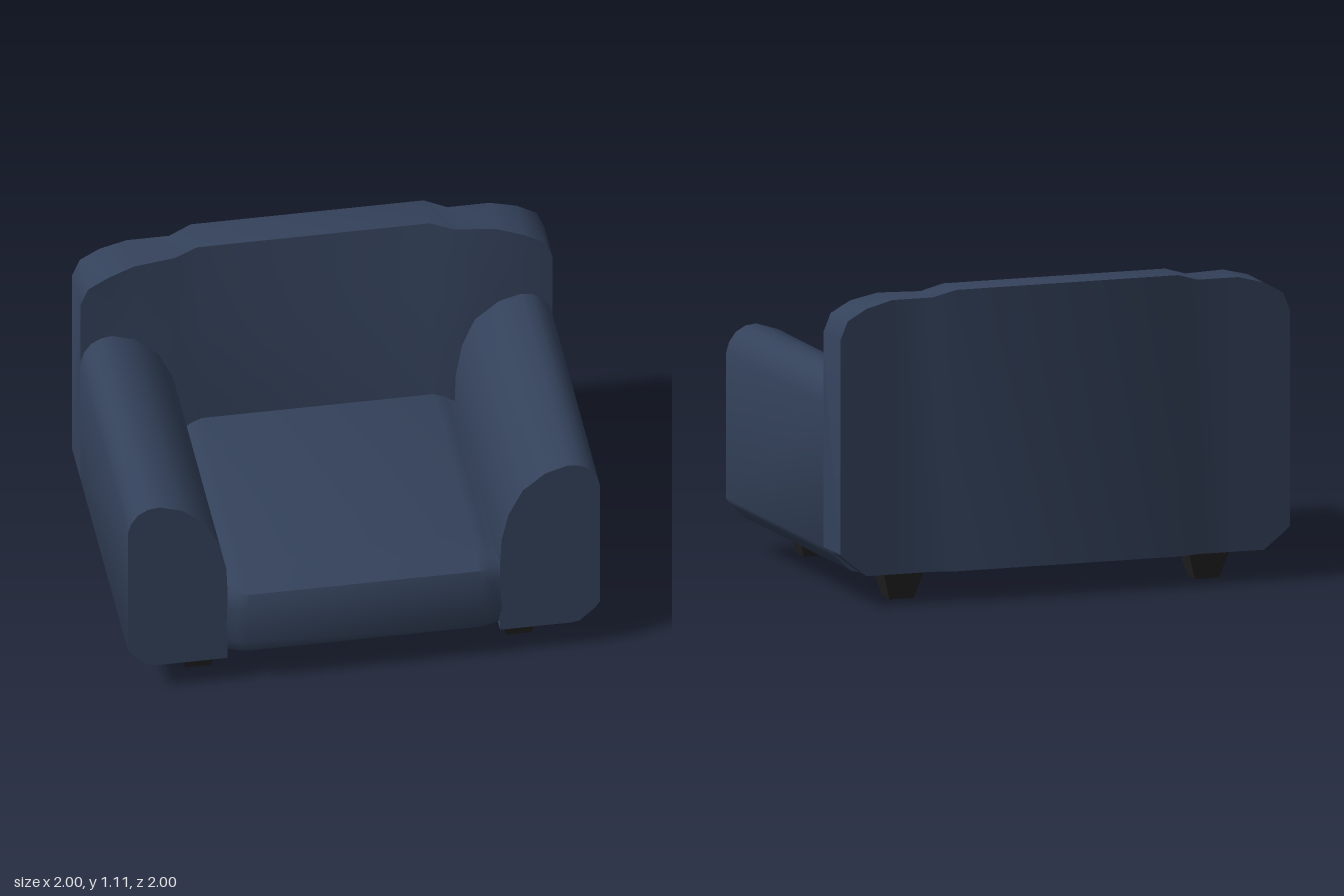
import * as THREE from 'three';
import { toCreasedNormals } from 'three/addons/utils/BufferGeometryUtils.js';

const fabric = new THREE.MeshStandardMaterial({ color: 0x33415a });
const darkWood = new THREE.MeshStandardMaterial({ color: 0x222222 });

// Skin equal-length rings placed along x. Each ring is a list of [z, y]
// running up the back, over the top and down the front.
function loft(sections) {
  const rings = sections.map(({ x, ring }) => ring.map(([z, y]) => [x, y, z]));
  const n = rings[0].length;
  const pos = [];
  const tri = (a, b, c) => pos.push(...a, ...b, ...c);
  for (let i = 0; i < rings.length - 1; i++) {
    for (let j = 0; j < n; j++) {
      const k = (j + 1) % n;
      const a = rings[i][j], b = rings[i][k], c = rings[i + 1][k], d = rings[i + 1][j];
      tri(a, b, c);
      tri(a, c, d);
    }
  }
  const first = rings[0], last = rings[rings.length - 1];
  for (let j = 1; j < n - 1; j++) {
    tri(first[0], first[j + 1], first[j]);
    tri(last[0], last[j], last[j + 1]);
  }
  const g = new THREE.BufferGeometry();
  g.setAttribute('position', new THREE.Float32BufferAttribute(pos, 3));
  return toCreasedNormals(g, 0.75);
}

// Half list of sections (from centre to side) mirrored over x = 0
function mirrored(half) {
  return [...half.map((s) => ({ ...s, x: -s.x })).reverse(), ...half];
}

function addMesh(parent, name, geometry, material) {
  const mesh = new THREE.Mesh(geometry, material);
  mesh.name = name;
  parent.add(mesh);
  return mesh;
}

// Rolled arm: a side profile extruded from front to back
function armGeometry(side) {
  const pts = [
    [0.48, 0.11], [0.48, 0.39], [0.485, 0.5], [0.51, 0.61], [0.56, 0.71], [0.64, 0.775],
    [0.72, 0.8], [0.76, 0.795], [0.795, 0.775], [0.82, 0.74], [0.832, 0.7],
    [0.832, 0.19], [0.815, 0.165], [0.76, 0.115], [0.735, 0.11],
  ];
  const shape = new THREE.Shape(pts.map(([x, y]) => new THREE.Vector2(x * side, y)));
  const g = new THREE.ExtrudeGeometry(shape, { depth: 1.08, bevelEnabled: false });
  g.translate(0, 0, -0.5);
  return toCreasedNormals(g, 0.75);
}

// Backrest: thin, leaning centre that runs out into square slab ends
function backGeometry() {
  // x, bottom, top, rear z, front z at top, front z at seat
  const half = [
    [0.41, 0.11, 1.105, -0.603, -0.47, -0.385],
    [0.49, 0.11, 1.08, -0.583, -0.455, -0.365],
    [0.64, 0.11, 1.08, -0.583, -0.43, -0.39],
    [0.735, 0.11, 1.055, -0.583, -0.412, -0.41],
    [0.805, 0.165, 1.015, -0.583, -0.41, -0.41],
    [0.832, 0.19, 0.95, -0.583, -0.41, -0.41],
  ].map(([x, yb, yt, rear, top, seat]) => ({
    x,
    ring: [[rear, yb], [rear, yt], [top, yt], [(top * 0.6 + seat * 0.4), 0.8], [seat, 0.42], [seat, yb]],
  }));
  return loft(mirrored(half));
}

// Seat: soft crowned block bulging forward between the arms
function seatGeometry() {
  const half = [
    [0.41, 0, 0],
    [0.45, -0.012, -0.01],
    [0.495, -0.03, -0.035],
    [0.54, -0.03, -0.035],
  ].map(([x, dz, dy]) => ({
    x,
    ring: [
      [-0.45, 0.11], [-0.45, 0.42 + dy], [0, 0.425 + dy], [0.42, 0.42 + dy], [0.53, 0.405 + dy * 0.7],
      [0.585 + dz, 0.38 + dy * 0.3], [0.605 + dz, 0.33], [0.606 + dz, 0.19], [0.59 + dz, 0.14], [0.55 + dz, 0.11],
    ],
  }));
  return loft(mirrored(half));
}

// Tapered rectangular foot, wider at the top
function legGeometry() {
  const g = new THREE.CylinderGeometry(Math.SQRT2, Math.SQRT2 * 0.56, 0.115, 4).toNonIndexed();
  g.rotateY(Math.PI / 4);
  g.scale(0.08, 1, 0.062);
  g.translate(0, 0.0575, 0);
  g.computeVertexNormals();
  return g;
}

export function createModel() {
  const group = new THREE.Group();
  group.name = 'armchair';

  // The chair is built facing +z, then turned to stand diagonally
  const chair = new THREE.Group();
  chair.name = 'chair';
  chair.rotation.y = -Math.PI / 4;
  group.add(chair);

  addMesh(chair, 'seat', seatGeometry(), fabric);
  addMesh(chair, 'backrest', backGeometry(), fabric);
  addMesh(chair, 'leftArm', armGeometry(1), fabric);
  addMesh(chair, 'rightArm', armGeometry(-1), fabric);

  const leg = legGeometry();
  for (const sx of [-1, 1]) {
    for (const sz of [-1, 1]) {
      const name = (sz > 0 ? 'front' : 'back') + (sx > 0 ? 'Left' : 'Right') + 'Leg';
      addMesh(chair, name, leg, darkWood).position.set(sx * 0.565, 0, sz * 0.435);
    }
  }
  return group;
}
